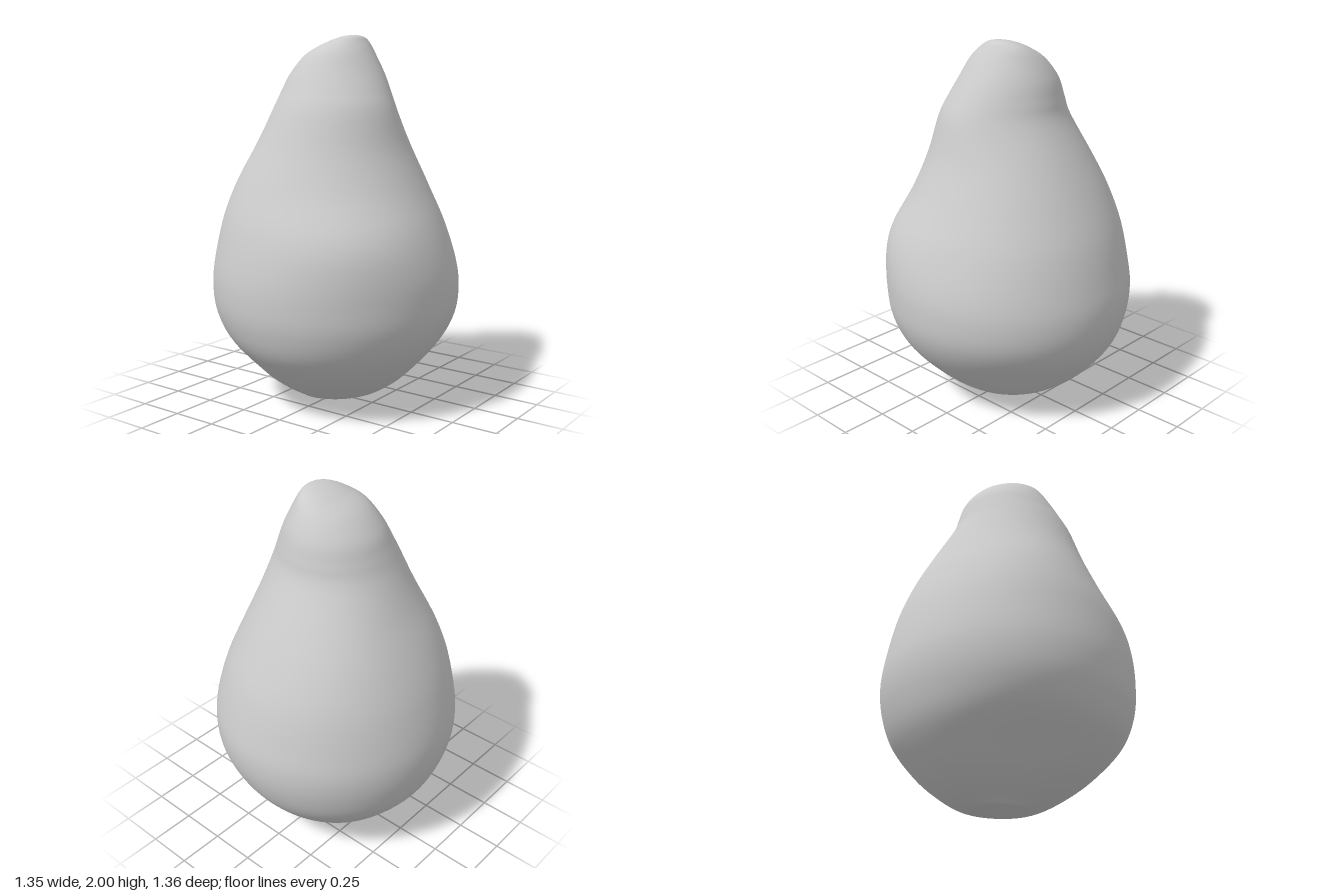
import * as THREE from 'three';

// Horizontal sections from crown to base: [y, xMax, xMin, zMax, zMin]
const SECTIONS = [
  [2.0, 0.04, 0.04, 0.1, 0.1],
  [1.99, 0.11, -0.04, 0.14, 0.04],
  [1.96, 0.17, -0.11, 0.165, -0.04],
  [1.9, 0.22, -0.19, 0.205, -0.15],
  [1.8, 0.27, -0.255, 0.265, -0.24],
  [1.7, 0.295, -0.31, 0.32, -0.285],
  [1.6, 0.32, -0.36, 0.365, -0.325],
  [1.4, 0.415, -0.435, 0.425, -0.42],
  [1.2, 0.51, -0.52, 0.51, -0.52],
  [1.0, 0.595, -0.605, 0.6, -0.605],
  [0.8, 0.65, -0.66, 0.665, -0.66],
  [0.65, 0.675, -0.675, 0.68, -0.675],
  [0.5, 0.66, -0.66, 0.66, -0.655],
  [0.35, 0.6, -0.6, 0.585, -0.6],
  [0.2, 0.48, -0.455, 0.45, -0.48],
  [0.1, 0.36, -0.31, 0.325, -0.37],
  [0.035, 0.25, -0.19, 0.2, -0.27],
  [0.005, 0.13, -0.12, 0.05, -0.21],
  [0.015, 0.06, -0.06, 0.0, -0.12],
  [0.03, 0, 0, -0.06, -0.06],
];

// Soft swellings and hollows: [angle in degrees from +x towards +z, y, height, depth]
const BUMPS = [
  [135, 0.95, 0.18, 0.035],
  [-45, 1.25, 0.35, 0.025],
  [-135, 1.2, 0.25, 0.025],
  [45, 1.62, 0.2, -0.018],
  [45, 0.25, 0.18, -0.035],
  [-135, 0.25, 0.18, -0.05],
];

function bumpAt(angle, y) {
  let sum = 0;
  for (const [deg, by, h, depth] of BUMPS) {
    const toward = Math.max(0, Math.cos(angle - THREE.MathUtils.degToRad(deg)));
    sum += depth * toward ** 5 * Math.exp(-(((y - by) / h) ** 2));
  }
  return sum;
}

function pearGeometry(rows = 114, cols = 96) {
  const curve = (hi, lo) => new THREE.CatmullRomCurve3(
    SECTIONS.map((s) => new THREE.Vector3(s[hi], s[0], s[lo])), false, 'catmullrom', 0.5);
  const xCurve = curve(1, 2);
  const zCurve = curve(3, 4);
  const positions = [];
  const indices = [];

  // Rings of vertices, with one single vertex at each pole
  for (let i = 0; i <= rows; i++) {
    const px = xCurve.getPoint(i / rows);
    const pz = zCurve.getPoint(i / rows);
    const cx = (px.x + px.z) / 2, rx = (px.x - px.z) / 2;
    const cz = (pz.x + pz.z) / 2, rz = (pz.x - pz.z) / 2;
    const pole = i === 0 || i === rows;
    for (let j = 0; j < (pole ? 1 : cols); j++) {
      const a = (j / cols) * Math.PI * 2;
      const fade = Math.min(1, rx / 0.25);
      const bump = pole ? 0 : bumpAt(a, px.y) * fade;
      positions.push(cx + Math.cos(a) * (rx + bump), px.y, cz + Math.sin(a) * (rz + bump));
    }
  }

  const last = 1 + (rows - 1) * cols;
  const at = (i, j) => (i === 0 ? 0 : i === rows ? last : 1 + (i - 1) * cols + (j % cols));
  for (let i = 0; i < rows; i++) {
    for (let j = 0; j < cols; j++) {
      if (i > 0) indices.push(at(i, j), at(i, j + 1), at(i + 1, j));
      if (i < rows - 1) indices.push(at(i, j + 1), at(i + 1, j + 1), at(i + 1, j));
      if (i === 0) indices.push(at(0, 0), at(1, j + 1), at(1, j));
    }
  }
  // The crown fan is covered by its own triangles above; keep only one copy
  const unique = [];
  const seen = new Set();
  for (let k = 0; k < indices.length; k += 3) {
    const tri = indices.slice(k, k + 3);
    const key = [...tri].sort((p, q) => p - q).join();
    if (!seen.has(key)) {
      seen.add(key);
      unique.push(...tri);
    }
  }

  const geometry = new THREE.BufferGeometry();
  geometry.setAttribute('position', new THREE.Float32BufferAttribute(positions, 3));
  geometry.setIndex(unique);
  geometry.computeVertexNormals();
  return geometry;
}

export function createModel() {
  const group = new THREE.Group();
  group.name = 'pear';
  const body = new THREE.Mesh(pearGeometry(), new THREE.MeshStandardMaterial({ color: 0xcccccc }));
  body.name = 'pearBody';
  group.add(body);
  return group;
}
